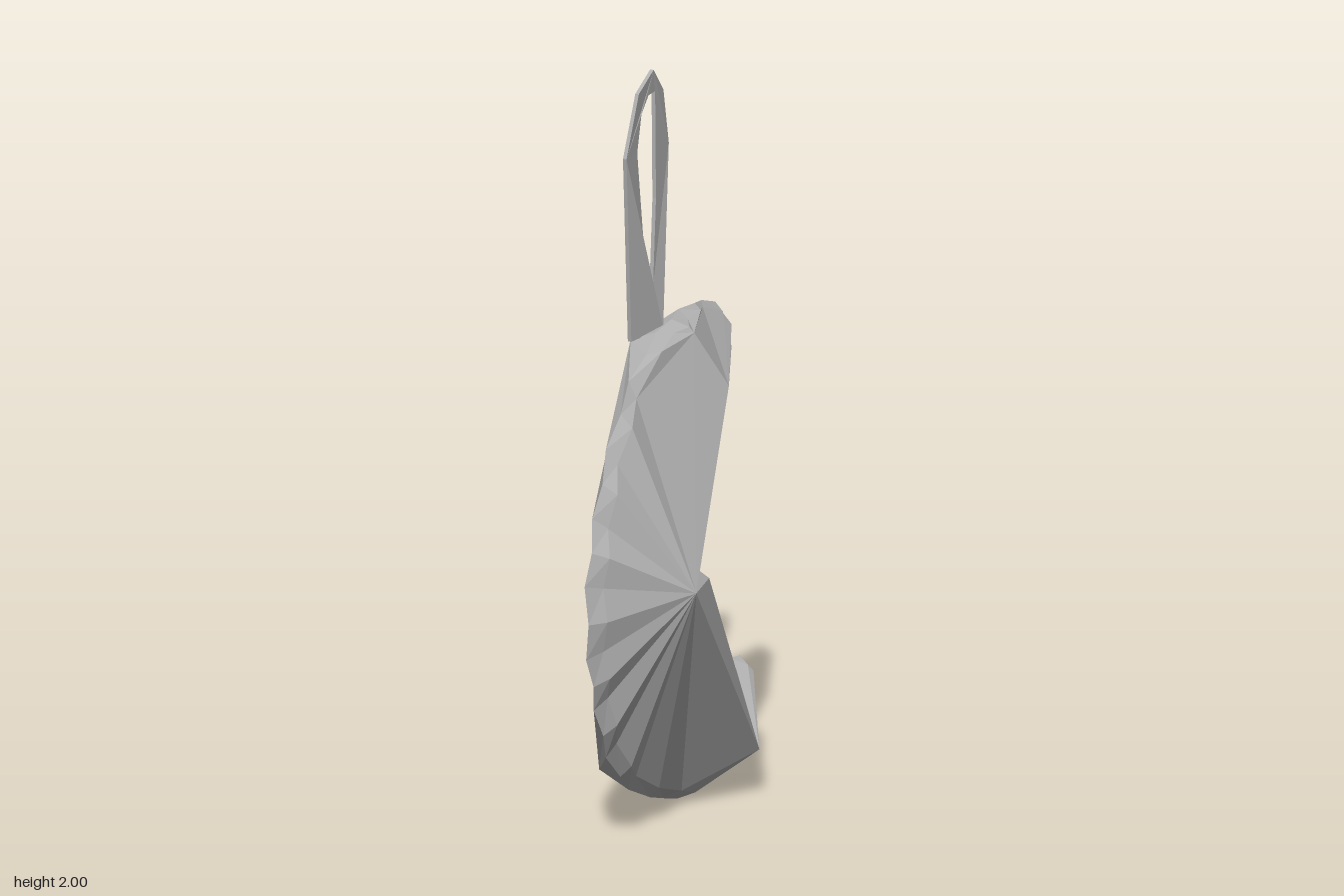
import * as THREE from 'three';

const grey = new THREE.MeshStandardMaterial({ color: 0xb0b0b0, side: THREE.DoubleSide });
grey.name = 'softGrey';

// Crescent outline as [z, y]: upper tip, round the outside, lower tip, back along the inside
const outline = [
  [-.38, 1.19], [-.36, 1.25], [-.25, 1.30], [-.10, 1.32], [.05, 1.30], [.23, 1.22], [.38, 1.08], [.47, .92],
  [.52, .75], [.51, .55], [.46, .40], [.38, .25], [.23, .12], [0, .03], [-.12, .005], [-.28, .03],
  [-.42, .10], [-.50, .17], [-.52, .22], [-.50, .27], [-.44, .28], [-.30, .29], [-.20, .33], [-.10, .42],
  [-.03, .52], [0, .62], [0, .72], [-.03, .85], [-.10, .97], [-.20, 1.07], [-.30, 1.11], [-.36, 1.13],
].map(([z, y]) => new THREE.Vector3(-.037, y, z));

// Slightly wavy seam with two points for each outline point
const curve = new THREE.CatmullRomCurve3(outline, true);
const seam = Array.from({ length: outline.length * 2 }, (_, i) => {
  const point = curve.getPoint(i / (outline.length * 2));
  point.x += i % 2 ? .006 : -.006;
  return point;
});

// Joins the seam to a few raised corners; each digit of fan picks the corner for one outline point.
// A crumple above 0 adds a puckered shoulder of that height beside the seam.
function facetedSide(name, cornerList, fan, inner, crumple, flip) {
  const corners = cornerList.map((c) => new THREE.Vector3(...c));
  const cornerOf = (i) => corners[+fan[i >> 1]];
  const position = [];
  const face = (a, b, c) => [a, flip ? c : b, flip ? b : c].forEach((v) => position.push(v.x, v.y, v.z));

  const shoulder = seam.map((p, i) => {
    const inward = cornerOf(i).clone().sub(p).setLength(i % 2 ? .035 : .045);
    inward.x += crumple * (i % 2 ? 1 : .4);
    return p.clone().add(inward);
  });
  const edge = crumple > 0 ? shoulder : seam;

  seam.forEach((p, i) => {
    const j = (i + 1) % seam.length;
    const a = cornerOf(i), b = cornerOf(j);
    if (crumple > 0) {
      face(p, seam[j], edge[i]);
      face(seam[j], edge[j], edge[i]);
    }
    face(edge[i], edge[j], a);
    if (a !== b) face(edge[j], b, a);
  });
  // Faces between corners only
  inner.forEach((triangle) => face(...triangle.map((k) => corners[k])));
  const geometry = new THREE.BufferGeometry();
  geometry.setAttribute('position', new THREE.Float32BufferAttribute(position, 3));
  return makeMesh(name, geometry);
}

function makeMesh(name, geometry) {
  geometry.computeVertexNormals();
  const mesh = new THREE.Mesh(geometry, grey);
  mesh.name = name;
  return mesh;
}

// Hanging loop: thin twisted ribbon with a hole, its two legs set apart sideways
function hangingLoop() {
  const points = (list) => list.map(([z, y]) => new THREE.Vector2(z, y));
  const shape = new THREE.Shape(points([
    [.09, 1.28], [.178, 1.80], [.12, 1.96], [.03, 2], [-.03, 1.93], [-.055, 1.78], [.005, 1.30],
  ]));
  shape.holes.push(new THREE.Path(points([
    [.03, 1.42], [.015, 1.65], [.02, 1.94], [.06, 1.94], [.10, 1.90], [.117, 1.80], [.07, 1.55],
  ])));
  const geometry = new THREE.ExtrudeGeometry(shape, { depth: .01, bevelEnabled: false });
  const p = geometry.attributes.position;
  for (let i = 0; i < p.count; i++) {
    const z = p.getX(i), y = p.getY(i), side = .005 - p.getZ(i);
    const t = (y - 1.28) / .72;
    const across = THREE.MathUtils.clamp(.5 + (z - .05) / (.085 + .2 * t), 0, 1);
    const x = THREE.MathUtils.lerp(-.046 - .014 * t, -.101 + .035 * t, across);
    p.setXYZ(i, x + side, y, z);
  }
  return makeMesh('hangingLoop', geometry);
}

export function createModel() {
  const group = new THREE.Group();
  group.name = 'crescentOrnament';

  // Corners: upper, middle, lower, inner bend, crown
  group.add(facetedSide('crescentLeftSide',
    [[.11, 1.14, -.07], [.18, .70, .31], [.157, .14, -.16], [.11, .66, .06], [.03, 1.285, -.03]],
    '00444111111112222222222333100000', [[1, 2, 3], [0, 4, 1]], .018, false));

  // Corners: top, inner bend, lower, lower tip
  group.add(facetedSide('crescentRightSide',
    [[-.105, 1.28, .07], [-.13, .80, .05], [-.18, .12, .10], [-.11, .12, -.40]],
    '00000001112222233333333333111000', [[1, 2, 3]], 0, true));

  group.add(hangingLoop());
  return group;
}
